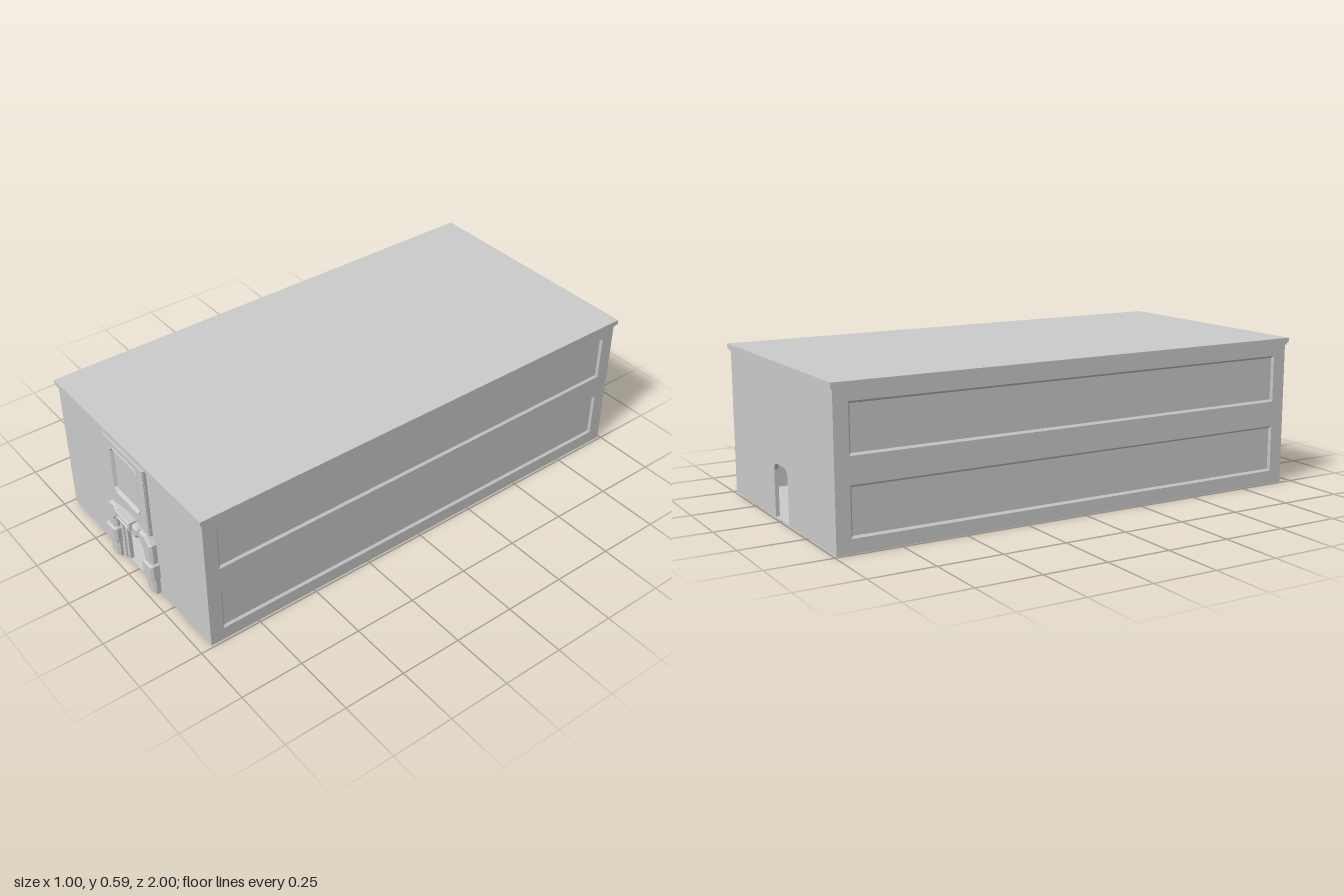
import * as THREE from 'three';

const material = new THREE.MeshStandardMaterial({ color: 0xcccccc, flatShading: true, side: THREE.DoubleSide });

function add(parent, name, geometry, x = 0, y = 0, z = 0) {
  const mesh = new THREE.Mesh(geometry, material);
  mesh.name = name;
  mesh.position.set(x, y, z);
  parent.add(mesh);
  return mesh;
}

// Box given by its limits
function addBox(parent, name, x0, x1, y0, y1, z0, z1) {
  return add(parent, name, new THREE.BoxGeometry(x1 - x0, y1 - y0, z1 - z0),
    (x0 + x1) / 2, (y0 + y1) / 2, (z0 + z1) / 2);
}

const points = (list) => list.map(([x, y]) => new THREE.Vector2(x, y));

// Counter-clockwise rectangle with corners cut by c
function outline(x0, x1, y0, y1, c = 0) {
  if (!c) return points([[x0, y0], [x1, y0], [x1, y1], [x0, y1]]);
  return points([[x0 + c, y0], [x1 - c, y0], [x1, y0 + c], [x1, y1 - c],
    [x1 - c, y1], [x0 + c, y1], [x0, y1 - c], [x0, y0 + c]]);
}

// Moves every edge of a counter-clockwise outline inward by d
function inset(loop, d) {
  return loop.map((p, i) => {
    const prev = loop[(i + loop.length - 1) % loop.length];
    const next = loop[(i + 1) % loop.length];
    const a = p.clone().sub(prev).normalize();
    const b = next.clone().sub(p).normalize();
    const k = d / (1 + a.dot(b));
    return new THREE.Vector2(p.x - (a.y + b.y) * k, p.y + (a.x + b.x) * k);
  });
}

// Stepped plate or recess: loops at [inset, z], closed by a flat cap
function stepped(loop, steps) {
  const n = loop.length, pos = [], index = [];
  steps.forEach(([d, z]) => inset(loop, d).forEach((p) => pos.push(p.x, p.y, z)));
  for (let s = 0; s < steps.length - 1; s++) {
    for (let i = 0; i < n; i++) {
      const a = s * n + i, b = s * n + (i + 1) % n;
      index.push(a, b, b + n, a, b + n, a + n);
    }
  }
  const base = (steps.length - 1) * n;
  const cap = inset(loop, steps[steps.length - 1][0]);
  THREE.ShapeUtils.triangulateShape(cap, []).forEach((t) => index.push(...t.map((i) => i + base)));
  const geometry = new THREE.BufferGeometry();
  geometry.setAttribute('position', new THREE.Float32BufferAttribute(pos, 3));
  geometry.setIndex(index);
  const flat = geometry.toNonIndexed();
  flat.computeVertexNormals();
  return flat;
}

function shapeWithHoles(loop, holes) {
  const shape = new THREE.Shape(loop);
  holes.forEach((h) => shape.holes.push(new THREE.Path(h)));
  return shape;
}

const extrude = (shape, depth) => new THREE.ExtrudeGeometry(shape, { depth, bevelEnabled: false });

export function createModel() {
  const model = new THREE.Group();
  model.name = 'building';
  const W = 0.49, H = 0.567, BACK = -0.99, FRONT = 0.952;

  // Roof slab, cornice and floor around the hollow hall
  addBox(model, 'roof', -0.5, 0.5, 0.571, 0.59, -1, 0.962);
  addBox(model, 'cornice', -0.495, 0.495, 0.563, 0.571, -0.995, 0.957);
  addBox(model, 'floor', -W, W, 0, 0.003, BACK, FRONT);

  // End walls, each cut by a doorway with clipped upper corners
  const wall = new THREE.Shape(points([
    [-W, 0], [-0.065, 0], [-0.065, 0.18], [-0.058, 0.2], [-0.04, 0.208], [0.04, 0.208],
    [0.058, 0.2], [0.065, 0.18], [0.065, 0], [W, 0], [W, H], [-W, H]]));
  add(model, 'frontWall', extrude(wall, 0.015), 0, 0, FRONT - 0.015);
  add(model, 'backWall', extrude(wall, 0.015), 0, 0, BACK);

  // Side walls with two long recessed panels
  for (const side of [1, -1]) {
    const group = new THREE.Group();
    group.name = side > 0 ? 'leftWall' : 'rightWall';
    group.rotation.y = side * Math.PI / 2;
    group.position.z = (BACK + FRONT) / 2;
    model.add(group);
    const half = (FRONT - BACK) / 2;
    const panels = [outline(-0.916, 0.916, 0.053, 0.237), outline(-0.916, 0.916, 0.337, 0.521)];
    add(group, 'wallFace', new THREE.ShapeGeometry(
      shapeWithHoles(outline(-half, half, 0, H), panels)), 0, 0, W);
    panels.forEach((p) => add(group, 'recessedPanel', stepped(p, [[0, W], [0.008, W - 0.008]])));
    addBox(group, 'innerWall', -half, half, 0, H, W - 0.02, W - 0.01);
  }

  // Panel above the door with a clipped-corner window recess
  const windowLoop = outline(-0.093, 0.093, 0.33, 0.541, 0.018);
  add(model, 'windowPanel', extrude(
    shapeWithHoles(outline(-0.135, 0.135, 0.268, 0.565), [windowLoop]), 0.016), 0, 0, 0.95);
  add(model, 'window', stepped(windowLoop, [[0, 0.966], [0.003, 0.969], [0.01, 0.956]]));
  for (const s of [-1, 1]) {
    addBox(model, 'panelEdge', s * 0.135 - 0.003, s * 0.135 + 0.003, 0.268, 0.565, 0.95, 0.963);
  }

  // Thin trim around the doorway
  const trim = points([
    [-0.106, 0], [-0.084, 0], [-0.084, 0.19], [-0.066, 0.21], [0.066, 0.21], [0.084, 0.19],
    [0.084, 0], [0.106, 0], [0.106, 0.2], [0.085, 0.224], [-0.085, 0.224], [-0.106, 0.2]]);
  add(model, 'doorTrim', stepped(trim, [[0, 0.95], [0, 0.957], [0.003, 0.96]]));

  // Heavy door frame
  const frame = points([
    [-0.156, 0], [-0.102, 0], [-0.102, 0.19], [-0.08, 0.218], [0.08, 0.218], [0.102, 0.19],
    [0.102, 0], [0.156, 0], [0.156, 0.235], [0.122, 0.268], [-0.122, 0.268], [-0.156, 0.235]]);
  add(model, 'doorFrame', stepped(frame, [[0, 0.95], [0, 0.97], [0.008, 0.98]]));

  // Blocks on the frame posts
  for (const s of [-1, 1]) {
    const block = outline(s * 0.129 - 0.034, s * 0.129 + 0.034, 0.073, 0.148, 0.006);
    add(model, 'postBlock', stepped(block, [[0, 0.95], [0, 0.978], [0.007, 0.988]]));
  }

  // Lintel and its framed plaque
  const lintel = points([
    [-0.07, 0.222], [0.07, 0.222], [0.085, 0.24], [0.085, 0.268], [0.075, 0.277],
    [-0.075, 0.277], [-0.085, 0.268], [-0.085, 0.24]]);
  add(model, 'lintel', stepped(lintel, [[0, 0.95], [0, 0.98], [0.008, 0.989]]));
  add(model, 'plaque', stepped(outline(-0.05, 0.05, 0.248, 0.284),
    [[0, 0.965], [0, 0.996], [0.004, 1], [0.008, 1], [0.011, 0.995]]));

  return model;
}
